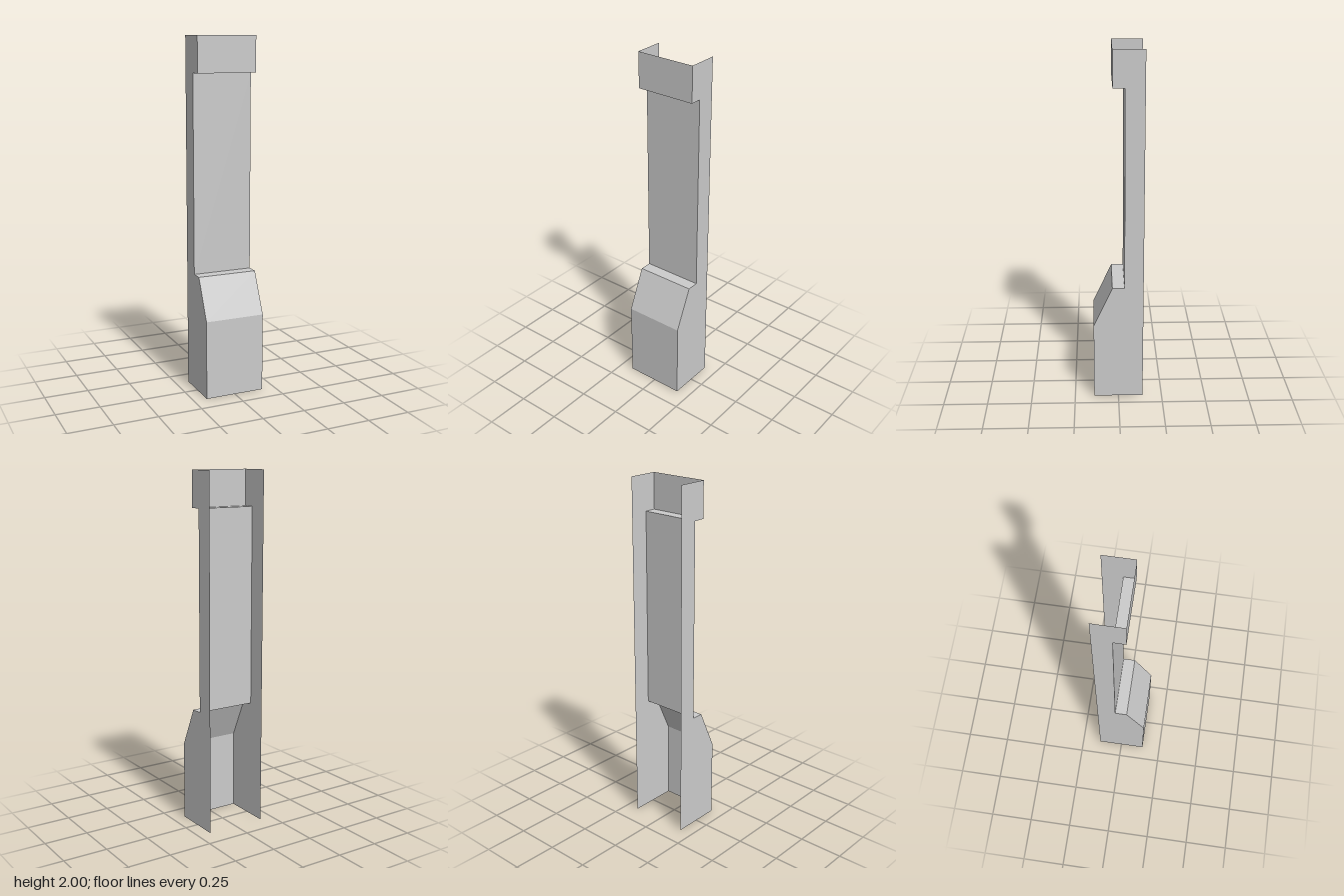
import * as THREE from 'three';

const HALF_WIDTH = 0.173;
const BACK = -0.14;

// Front edge from bottom to top, as [z, y]
const PROFILE = [
  [0.14, 0], [0.14, 0.45], [0.034, 0.68], [-0.034, 0.68],
  [-0.034, 1.8], [0.031, 1.8], [0.031, 2],
];
const PANEL_NAMES = ['basePanel', 'slopedPanel', 'lowerLedge', 'mainPanel', 'upperLedge', 'topPanel'];

// Flat strip across the width between two profile points
function panel([z0, y0], [z1, y1]) {
  const w = HALF_WIDTH;
  const geometry = new THREE.BufferGeometry();
  geometry.setAttribute('position', new THREE.Float32BufferAttribute(
    [-w, y0, z0, w, y0, z0, w, y1, z1, -w, y1, z1], 3));
  geometry.setIndex([0, 1, 2, 0, 2, 3]);
  geometry.computeVertexNormals();
  return geometry;
}

export function createModel() {
  const model = new THREE.Group();
  model.name = 'openBackedCasing';
  const material = new THREE.MeshStandardMaterial({
    color: 0xcccccc, flatShading: true, side: THREE.DoubleSide,
  });

  // Folded front sheet
  PANEL_NAMES.forEach((name, i) => {
    const mesh = new THREE.Mesh(panel(PROFILE[i], PROFILE[i + 1]), material);
    mesh.name = name;
    model.add(mesh);
  });

  // Side walls; the back, top and bottom stay open
  const outline = [[BACK, 0], ...PROFILE, [BACK, 2]].map(([z, y]) => new THREE.Vector2(z, y));
  for (const side of [-1, 1]) {
    const geometry = new THREE.ShapeGeometry(new THREE.Shape(outline));
    geometry.rotateY(-Math.PI / 2); // shape x becomes z, facing -x
    if (side > 0) geometry.index.array.reverse(); // face +x
    geometry.computeVertexNormals();
    geometry.translate(side * HALF_WIDTH, 0, 0);
    const wall = new THREE.Mesh(geometry, material);
    wall.name = side > 0 ? 'leftWall' : 'rightWall';
    model.add(wall);
  }
  return model;
}
